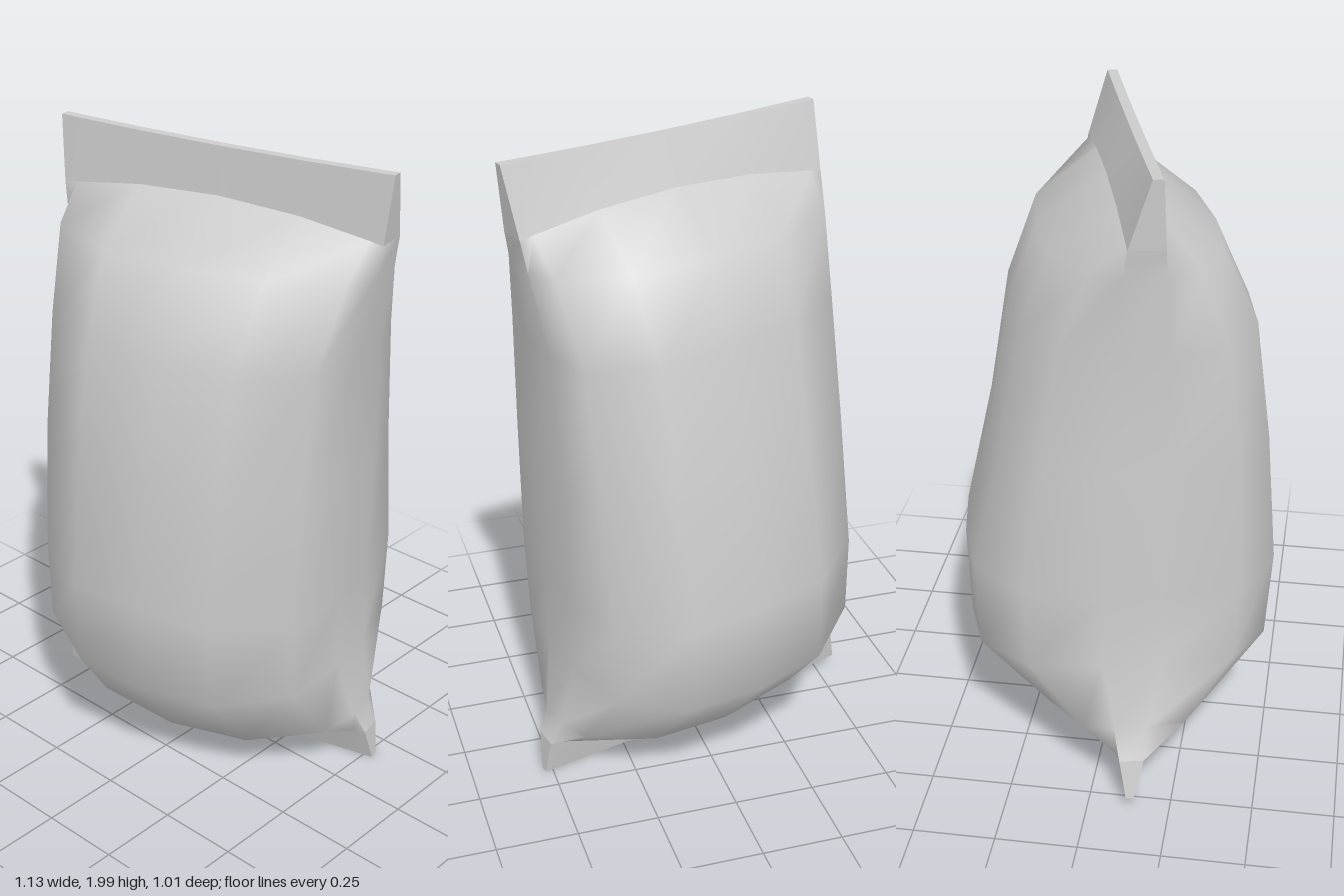
import * as THREE from 'three';
import { toCreasedNormals } from 'three/addons/utils/BufferGeometryUtils.js';

// Places across the bag where each cross-section is sampled
const STEPS = [-1, -0.92, -0.5, 0, 0.5, 0.92, 1];
const ACROSS = STEPS.length;
const TURN = 0.265; // the bag stands slightly turned
const SKEW = 0.055; // front and back panels are shifted against each other

// Cross-sections from bottom to top.
// y, tilt, curve: height in the middle, slope and bend towards the ends
// mid, half: centre and half width; off, w: offset and half thickness of the ends
// f, b: depth in front and behind; p: roundness
const ring = (y, tilt, curve, mid, half, off, w, f, b, p) => ({ y, tilt, curve, mid, half, off, w, f, b, p });
const flat = (y, tilt, curve, mid, half, off, w) => ring(y, tilt, curve, mid, half, off, w, off + w, w - off, 2);

const bottomEdge = flat(0.015, -0.02, 0.013, -0.012, 0.562, -0.02, 0.012);
const bottomFold = flat(0.085, -0.025, 0.06, -0.005, 0.542, -0.012, 0.037);
const topFold = flat(1.836, -0.015, -0.051, 0.047, 0.505, 0.033, 0.052);
const topEdge = flat(1.977, -0.015, 0.008, 0.053, 0.52, 0.06, 0.015);
const bodyRings = [
  bottomFold,
  ring(0.145, -0.035, 0.08, 0, 0.505, -0.01, 0.05, 0.292, 0.252, 2.3),
  ring(0.375, -0.03, 0.05, 0.005, 0.458, 0, 0.09, 0.46, 0.458, 2.9),
  ring(0.667, -0.03, 0, 0.01, 0.457, 0, 0.09, 0.48, 0.467, 3),
  ring(1.075, -0.04, 0, 0.02, 0.457, 0.01, 0.09, 0.448, 0.373, 3),
  ring(1.45, -0.02, 0, 0.034, 0.457, 0.02, 0.08, 0.403, 0.308, 2.9),
  ring(1.685, -0.02, 0.01, 0.044, 0.492, 0.03, 0.06, 0.3, 0.222, 2.3),
  topFold,
];

// One closed loop: the front from left to right, then the back
function ringPoints(r) {
  const front = [], back = [];
  const c = Math.cos(TURN), s = Math.sin(TURN);
  for (const t of STEPS) {
    const bulge = Math.pow(1 - Math.pow(Math.abs(t), r.p), 1 / r.p);
    const y = r.y + r.tilt * t + r.curve * t * t;
    const place = (n) => {
      const e = r.mid + r.half * t - SKEW * n;
      return [e * c + n * s, y, -e * s + n * c];
    };
    front.push(place(r.off + r.w + (r.f - r.off - r.w) * bulge));
    back.unshift(place(r.off - r.w - (r.b + r.off - r.w) * bulge));
  }
  return [...front, ...back];
}

// Skin over a stack of loops, with an optional flat cap at either end
function loft(rings, capBottom, capTop, crease) {
  const positions = rings.flatMap(ringPoints).flat();
  const n = 2 * ACROSS, index = [];
  const quad = (a, b, c, d) => index.push(a, b, c, a, c, d);
  for (let i = 0; i < rings.length - 1; i++) {
    for (let j = 0; j < n; j++) {
      const k = (j + 1) % n;
      quad(i * n + j, i * n + k, (i + 1) * n + k, (i + 1) * n + j);
    }
  }
  const last = (rings.length - 1) * n;
  for (let k = 0; k < ACROSS - 1; k++) {
    const l = n - 1 - k;
    if (capBottom) quad(k, l, l - 1, k + 1);
    if (capTop) quad(last + k, last + k + 1, last + l - 1, last + l);
  }
  const geometry = new THREE.BufferGeometry();
  geometry.setAttribute('position', new THREE.Float32BufferAttribute(positions, 3));
  geometry.setIndex(index);
  return toCreasedNormals(geometry, crease);
}

export function createModel() {
  const group = new THREE.Group();
  group.name = 'pillowBag';
  const material = new THREE.MeshStandardMaterial({ color: 0xcccccc, side: THREE.DoubleSide });
  const add = (name, geometry) => {
    const mesh = new THREE.Mesh(geometry, material);
    mesh.name = name;
    group.add(mesh);
  };
  add('bagBody', loft(bodyRings, false, false, 1.5));
  add('bottomSeal', loft([bottomEdge, bottomFold], true, false, 0.6));
  add('topSeal', loft([topFold, topEdge], false, true, 0.6));
  return group;
}
